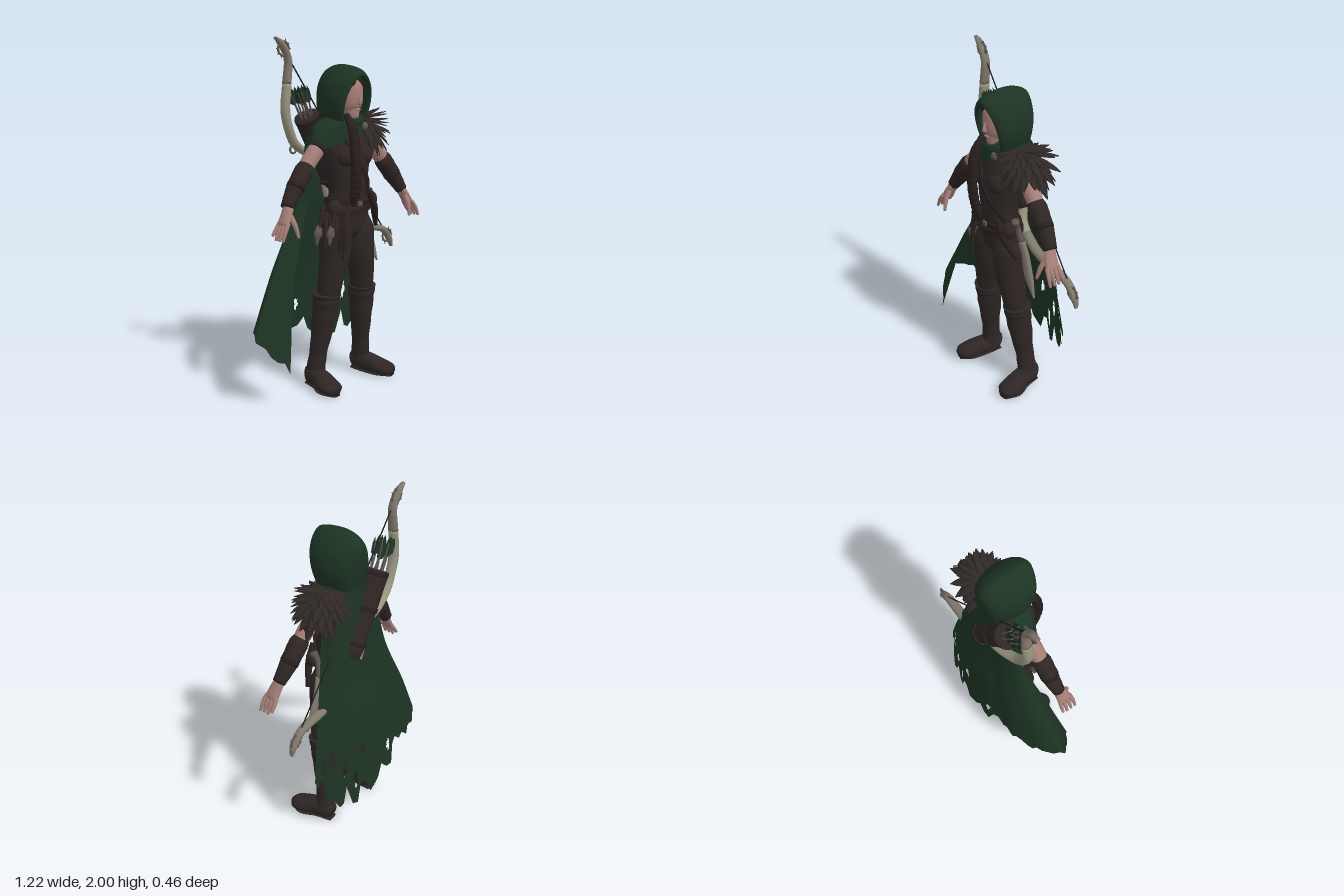
import * as THREE from 'three';

const V = (x, y, z) => new THREE.Vector3(x, y, z);
const CX = 0.045; // body's own middle line
const mat = (name, color, side = THREE.FrontSide) => {
  const m = new THREE.MeshStandardMaterial({ color, side });
  m.name = name;
  return m;
};

// Indexed surface over a (u, v) grid
function grid(nu, nv, fn, skip = () => false) {
  const pos = [], idx = [];
  for (let j = 0; j <= nv; j++) for (let i = 0; i <= nu; i++) pos.push(...fn(i / nu, j / nv).toArray());
  for (let j = 0; j < nv; j++) for (let i = 0; i < nu; i++) {
    if (skip((i + 0.5) / nu, (j + 0.5) / nv)) continue;
    const a = j * (nu + 1) + i, c = a + nu + 1;
    idx.push(a, c, a + 1, a + 1, c, c + 1);
  }
  const g = new THREE.BufferGeometry();
  g.setAttribute('position', new THREE.Float32BufferAttribute(pos, 3));
  g.setIndex(idx);
  g.computeVertexNormals();
  return g;
}

// Capped tube through sections [x, y, z, halfWidth, halfDepth]
function loft(secs, { n = 24, m = 14, ref = V(0, 0, 1), bump = () => 1 } = {}) {
  const path = new THREE.CatmullRomCurve3(secs.map(s => V(s[0], s[1], s[2])));
  const size = new THREE.CatmullRomCurve3(secs.map(s => V(s[3], s[4] ?? s[3], 0)));
  const pos = [], idx = [];
  for (let i = 0; i <= n; i++) {
    const t = i / n, p = path.getPoint(t), r = size.getPoint(t), T = path.getTangent(t);
    const S = V().crossVectors(T, ref).normalize(), B = V().crossVectors(S, T);
    for (let j = 0; j < m; j++) {
      const a = j / m * Math.PI * 2, k = bump(t, a);
      pos.push(...p.clone().addScaledVector(S, r.x * k * Math.cos(a)).addScaledVector(B, r.y * k * Math.sin(a)).toArray());
    }
  }
  for (let i = 0; i < n; i++) for (let j = 0; j < m; j++) {
    const a = i * m + j, b = i * m + (j + 1) % m;
    idx.push(a, a + m, b, b, a + m, b + m);
  }
  const c0 = pos.length / 3;
  pos.push(...path.getPoint(0).toArray(), ...path.getPoint(1).toArray());
  for (let j = 0; j < m; j++) idx.push(c0, j, (j + 1) % m, c0 + 1, n * m + (j + 1) % m, n * m + j);
  const g = new THREE.BufferGeometry();
  g.setAttribute('position', new THREE.Float32BufferAttribute(pos, 3));
  g.setIndex(idx);
  g.computeVertexNormals();
  return g;
}

export function createModel() {
  const model = new THREE.Group();
  let seed = 7;
  const rnd = () => (seed = (seed * 16807) % 2147483647) / 2147483647;
  const green = mat('forest cloth', 0x1d3323, THREE.DoubleSide);
  const leather = mat('dark leather', 0x2e2625);
  const plume = mat('feather brown', 0x2f2827, THREE.DoubleSide);
  const hair = mat('dark hair', 0x281f1e);
  const skin = mat('skin', 0xa57e78);
  const bone = mat('pale wood', 0x98957f);
  const worn = mat('worn wood', 0x7f786c);
  const metal = mat('dull metal', 0x5f5753);
  const cord = mat('cord', 0x1e1a1a);
  const add = (name, geo, m, parent = model) => {
    const mesh = new THREE.Mesh(geo, m);
    mesh.name = name;
    parent.add(mesh);
    return mesh;
  };
  const ball = (name, m, x, y, z, a, b, c) => {
    const s = add(name, new THREE.SphereGeometry(1, 20, 14), m);
    s.position.set(x, y, z);
    s.scale.set(a, b, c);
  };

  // Torso
  add('torso', loft([[CX, 0.86, 0.05, 0.07, 0.05], [CX, 0.92, 0.05, 0.145, 0.095], [CX, 1.0, 0.055, 0.155, 0.1], [CX, 1.14, 0.07, 0.122, 0.092],
    [CX, 1.3, 0.06, 0.145, 0.112], [CX, 1.42, 0.04, 0.16, 0.105], [CX, 1.5, 0.02, 0.125, 0.08], [CX, 1.56, 0.03, 0.055, 0.05]], { n: 36, m: 28 }), leather);
  for (const s of [-1, 1]) ball('bust', leather, CX + s * 0.06, 1.345, 0.118, 0.068, 0.068, 0.06);
  for (const [y, a, b, tilt] of [[1.08, 0.145, 0.105, -0.12], [1.03, 0.162, 0.11, 0.14]]) {
    const belt = add('belt', new THREE.CylinderGeometry(1, 1, 0.03, 32), hair);
    belt.position.set(CX, y, 0.06);
    belt.scale.set(a, 1, b);
    belt.rotation.z = tilt;
  }
  add('buckle', new THREE.BoxGeometry(0.03, 0.025, 0.012), metal).position.set(CX, 1.08, 0.168);
  add('chestStrap', loft([[-0.09, 1.5, 0.1, 0.014, 0.006], [0.0, 1.38, 0.165, 0.014, 0.006], [0.05, 1.29, 0.175, 0.014, 0.006],
    [0.12, 1.2, 0.155, 0.014, 0.006], [0.17, 1.1, 0.1, 0.014, 0.006]]), hair);

  // Head, hair and braid
  add('neck', new THREE.CylinderGeometry(0.042, 0.05, 0.12, 18), skin).position.set(CX, 1.55, 0.05);
  add('head', loft([[CX, 1.543, 0.1, 0.012, 0.012], [CX, 1.56, 0.1, 0.038, 0.044], [CX, 1.6, 0.08, 0.062, 0.072], [CX, 1.66, 0.075, 0.077, 0.084],
    [CX, 1.72, 0.072, 0.077, 0.086], [CX, 1.77, 0.06, 0.05, 0.06], [CX, 1.79, 0.055, 0.01, 0.01]], { m: 24 }), skin);
  add('nose', loft([[CX, 1.7, 0.15, 0.007, 0.007], [CX, 1.66, 0.16, 0.009, 0.012], [CX, 1.642, 0.162, 0.013, 0.014], [CX, 1.632, 0.155, 0.009, 0.007]], { n: 10, m: 10 }), skin);
  ball('lips', skin, CX, 1.605, 0.15, 0.02, 0.008, 0.007);
  ball('hairCap', hair, CX, 1.71, 0.04, 0.083, 0.1, 0.091);
  for (const s of [-1, 1]) {
    const X = d => CX + s * d;
    add('fringe', loft([[X(-0.01), 1.785, 0.115, 0.02, 0.014], [X(0.035), 1.757, 0.138, 0.024, 0.012], [X(0.074), 1.69, 0.1, 0.008, 0.014], [X(0.074), 1.58, 0.085, 0.006, 0.012]]), hair);
  }
  add('braid', loft([[-0.022, 1.58, 0.12, 0.016, 0.018], [-0.024, 1.5, 0.175, 0.031, 0.026], [-0.026, 1.35, 0.2, 0.032, 0.028], [-0.018, 1.22, 0.195, 0.033, 0.026],
    [-0.01, 1.14, 0.18, 0.036, 0.025], [-0.005, 1.07, 0.165, 0.012, 0.008]], { n: 90, m: 12, bump: t => 0.92 + 0.1 * Math.abs(Math.sin(t * 40)) }), hair);

  // Hood: pointed arches swept from the rim to the closed back
  const arch = [[-0.85, -1], [-0.97, -0.6], [-1, -0.2], [-0.88, 0.3], [-0.6, 0.68], [-0.28, 0.91], [0, 1]];
  const archCurve = new THREE.CatmullRomCurve3([...arch, ...arch.slice(0, 6).reverse().map(p => [-p[0], p[1]])].map(p => V(p[0], p[1], 0)));
  const hoodSecs = [[0.165, 0.088, 1.78], [0.186, 0.1, 1.797], [0.17, 0.118, 1.823], [0.1, 0.136, 1.845], [0, 0.132, 1.852], [-0.07, 0.112, 1.833], [-0.11, 0.075, 1.805], [-0.126, 0, 1.77]];
  const hoodCurve = new THREE.CatmullRomCurve3(hoodSecs.map(s => V(s[1], s[2], s[0])));
  add('hood', grid(44, 30, (u, v) => {
    const a = archCurve.getPoint(u), s = hoodCurve.getPoint(v), h = (s.y - 1.54) / 2, drop = (1 - a.y) / 2;
    return V(CX + a.x * s.x, 1.54 + h + a.y * h, s.z + (s.z > 0 ? -0.35 * s.z * drop : 0.02 * drop * drop));
  }), green);

  // Mantle, longer over the right shoulder
  add('mantle', grid(48, 12, (u, v) => {
    const a = u * Math.PI * 2, w = ((1 - Math.cos(a)) / 2) ** 2, c = Math.cos(a), s = Math.sin(a);
    const spread = Math.sin(v * Math.PI / 2), fold = 1 + 0.015 * v * Math.sin(a * 9);
    return V(CX + c * (0.085 + (0.05 + 0.125 * w) * spread) * fold, 1.585 - (0.09 + 0.11 * w) * v ** 1.3 - 0.01 * Math.sin(v * 9),
      0.03 + s * (0.085 + 0.04 * spread) * fold);
  }), green);
  const scarf = add('scarf', new THREE.TorusGeometry(0.09, 0.026, 10, 32), green);
  scarf.position.set(CX, 1.55, 0.042);
  scarf.rotation.set(Math.PI / 2 + 0.2, 0.08, 0);
  ball('brooch', metal, 0.105, 1.51, 0.145, 0.022, 0.022, 0.012);

  // Cape with torn hem and holes
  const rows = [
    [[-0.15, 1.47, 0.05], [-0.18, 1.47, -0.02], [-0.13, 1.51, -0.07], [-0.03, 1.56, -0.09], [0.08, 1.56, -0.095], [0.19, 1.5, -0.075], [0.25, 1.42, -0.015]],
    [[-0.2, 1.1, 0.0], [-0.24, 1.1, -0.05], [-0.17, 1.1, -0.1], [-0.05, 1.1, -0.12], [0.1, 1.1, -0.125], [0.24, 1.1, -0.105], [0.3, 1.12, -0.04]],
    [[-0.36, 0.7, 0.06], [-0.455, 0.7, -0.02], [-0.35, 0.7, -0.12], [-0.14, 0.7, -0.17], [0.08, 0.7, -0.185], [0.29, 0.7, -0.15], [0.385, 0.72, -0.08]],
    [[-0.48, 0.2, 0.15], [-0.62, 0.38, 0.01], [-0.47, 0.37, -0.13], [-0.22, 0.36, -0.2], [0.06, 0.11, -0.235], [0.29, 0.19, -0.19], [0.45, 0.34, -0.11]],
  ].map(r => new THREE.CatmullRomCurve3(r.map(p => V(...p))));
  const cols = 160, shreds = 40, tear = [];
  for (let i = 0; i <= shreds + 1; i++) tear.push(rnd() ** 1.4 * Math.min(0.8, 0.12 + (i / shreds) ** 1.2));
  const holes = [[0.55, 0.88, 0.01, 0.03], [0.7, 0.8, 0.012, 0.03], [0.8, 0.86, 0.01, 0.05], [0.88, 0.78, 0.014, 0.04], [0.94, 0.85, 0.012, 0.05], [0.75, 0.9, 0.008, 0.04]];
  add('cape', grid(cols, 56, (u, v) => {
    const k = u * shreds, i = Math.floor(k), j = THREE.MathUtils.lerp(tear[i], tear[i + 1], k - i);
    const p = new THREE.CatmullRomCurve3(rows.map(r => r.getPoint(u))).getPoint(v * (1 - 0.17 * j * v ** 3));
    p.z += 0.003 * v * Math.sin(u * 42);
    return p;
  }, (u, v) => holes.some(h => ((u - h[0]) / h[2]) ** 2 + ((v - h[1]) / h[3]) ** 2 < 1)), green);

  // Arms and legs
  for (const s of [-1, 1]) {
    const X = d => CX + s * d;
    const limb = (name, m, secs, o) => add(name, loft(secs.map(([d, ...r]) => [X(d), ...r]), o), m);
    limb('sleeve', leather, [[0.1, 1.46, 0.03, 0.045, 0.06], [0.16, 1.44, 0.035, 0.058, 0.06], [0.205, 1.4, 0.04, 0.05]]);
    limb('upperArm', skin, [[0.17, 1.43, 0.035, 0.05], [0.25, 1.36, 0.042, 0.048], [0.33, 1.275, 0.05, 0.042]]);
    limb('armBand', hair, [[0.2, 1.404, 0.04, 0.053], [0.22, 1.386, 0.042, 0.052]], { n: 4 });
    limb('bracer', leather, [[0.3, 1.31, 0.047, 0.045], [0.325, 1.28, 0.05, 0.054], [0.39, 1.2, 0.055, 0.05], [0.465, 1.1, 0.068, 0.036]], { bump: t => 1 + 0.015 * Math.sin(t * 45) });
    limb('bracerStrap', hair, [[0.38, 1.212, 0.054, 0.053], [0.395, 1.193, 0.056, 0.052]], { n: 3 });
    limb('palm', skin, [[0.45, 1.115, 0.066, 0.026, 0.03], [0.475, 1.07, 0.078, 0.023, 0.038], [0.505, 1.02, 0.085, 0.019, 0.042], [0.513, 1.005, 0.086, 0.01, 0.034]]);
    for (let i = 0; i < 4; i++) {
      const z = 0.054 + i * 0.022, drop = i === 0 ? 0.02 : 0;
      limb('finger', skin, [[0.503, 1.025, z, 0.013], [0.53, 0.985, z + (i - 1) * 0.004, 0.012], [0.552, 0.935 + drop, z + (i - 1) * 0.006, 0.008]], { n: 8, m: 8 });
    }
    limb('thumb', skin, [[0.47, 1.06, 0.1, 0.017], [0.462, 1.01, 0.13, 0.014], [0.452, 0.945, 0.148, 0.008]], { n: 8, m: 8 });

    limb('thigh', leather, [[0.075, 0.98, 0.055, 0.075, 0.085], [0.09, 0.9, 0.06, 0.098, 0.098], [0.1, 0.78, 0.065, 0.089, 0.089], [0.128, 0.64, 0.06, 0.072, 0.075], [0.142, 0.5, 0.045, 0.064]]);
    limb('boot', leather, [[0.146, 0.56, 0.048, 0.083, 0.081], [0.148, 0.51, 0.043, 0.077, 0.077], [0.158, 0.38, 0.028, 0.065, 0.07], [0.178, 0.2, 0.008, 0.047, 0.056], [0.188, 0.1, 0, 0.05, 0.06], [0.19, 0.03, 0, 0.053, 0.06]],
      { n: 48, m: 18, bump: (t, a) => 1 + 0.025 * Math.sin(t * 38 + a) });
    limb('foot', leather, [[0.187, 0.052, -0.062, 0.03, 0.045], [0.19, 0.063, -0.03, 0.055, 0.06], [0.202, 0.06, 0.05, 0.058, 0.058], [0.222, 0.047, 0.13, 0.068, 0.045], [0.232, 0.038, 0.19, 0.06, 0.036], [0.235, 0.03, 0.218, 0.028, 0.022]], { ref: V(0, 1, 0), m: 18 });
    limb('sole', leather, [[0.187, 0.01, -0.058, 0.035, 0.01], [0.2, 0.01, 0.05, 0.05, 0.01], [0.223, 0.01, 0.13, 0.064, 0.01], [0.235, 0.01, 0.212, 0.03, 0.01]], { ref: V(0, 1, 0) });
  }

  // Feathered left shoulder, layered like shingles
  const feathers = new THREE.Group();
  feathers.name = 'featherPauldron';
  model.add(feathers);
  const feather = loft([[0, 0, 0, 0.012, 0.004], [0, 0.04, 0, 0.026, 0.006], [0, 0.09, 0, 0.022, 0.005], [0, 0.135, 0, 0.002, 0.002]], { n: 7, m: 6 });
  for (let r = 0; r < 5; r++) for (let k = 0; k < 14; k++) {
    const az = (-150 + 270 * (k + (r % 2) * 0.5) / 13.5) * Math.PI / 180, e = (70 - r * 19 + rnd() * 8) * Math.PI / 180;
    const radial = V(Math.cos(az), 0, Math.sin(az));
    const out = radial.clone().multiplyScalar(Math.cos(e)).setY(Math.sin(e));
    const flare = 0.12 + rnd() * 0.15 + 0.5 * Math.max(0, radial.x) ** 2;
    const dir = radial.clone().multiplyScalar(Math.sin(e)).setY(-Math.cos(e)).addScaledVector(out, flare).normalize();
    const side = V().crossVectors(dir, out).normalize();
    const f = add('feather', feather, plume, feathers);
    f.quaternion.setFromRotationMatrix(new THREE.Matrix4().makeBasis(side, dir, V().crossVectors(side, dir)));
    f.position.set(0.2 + out.x * 0.098, 1.45 + out.y * 0.098, 0.015 + out.z * 0.08);
    f.scale.setScalar(0.8 + rnd() * 0.3);
  }
  ball('shoulderPad', plume, 0.2, 1.45, 0.015, 0.1, 0.1, 0.082);

  // Quiver and arrows
  const qTop = V(-0.14, 1.57, -0.075), qDir = V(-0.26, 0.46, 0.015).normalize();
  const qAt = (d, r) => [...qTop.clone().addScaledVector(qDir, d).toArray(), r];
  add('quiver', loft([qAt(-0.5, 0.055), qAt(-0.46, 0.064), qAt(-0.15, 0.07), qAt(0, 0.072)], { m: 20 }), leather);
  for (const d of [-0.42, -0.22, -0.02]) add('quiverBand', loft([qAt(d - 0.012, 0.073), qAt(d + 0.012, 0.075)], { n: 3, m: 20 }), hair);
  const vane = new THREE.Shape([[0, 0.08], [0.024, 0.1], [0.024, 0.15], [0.012, 0.185], [0, 0.16]].map(p => new THREE.Vector2(...p)));
  for (let i = 0; i < 8; i++) {
    const arrow = new THREE.Group();
    arrow.name = 'arrow';
    arrow.quaternion.setFromUnitVectors(V(0, 1, 0), qDir.clone().add(V((rnd() - 0.5) * 0.35, 0, (rnd() - 0.5) * 0.15)).normalize());
    arrow.position.copy(qTop).add(V(Math.cos(i * 0.8) * 0.035, rnd() * 0.02 - 0.02, Math.sin(i * 0.8) * 0.035));
    model.add(arrow);
    add('shaft', new THREE.CylinderGeometry(0.005, 0.005, 0.2, 6), metal, arrow).position.y = 0.06;
    for (let k = 0; k < 3; k++) add('fletching', new THREE.ShapeGeometry(vane), green, arrow).rotation.y = k * 2.1;
  }

  // Bow: one limb, reflected across the middle of the string
  const tipA = V(-0.31, 1.94, -0.07), tipB = V(0.54, 0.785, -0.07), along = tipB.clone().sub(tipA).normalize();
  const mid = tipA.clone().add(tipB).multiplyScalar(0.5);
  const upper = [[-0.37, 2.0, -0.07, 0.006, 0.012], [-0.325, 1.965, -0.07, 0.02, 0.022], [-0.28, 1.89, -0.07, 0.02, 0.026], [-0.288, 1.75, -0.07, 0.023, 0.03],
    [-0.3, 1.6, -0.07, 0.026, 0.03], [-0.265, 1.48, -0.072, 0.025, 0.03], [-0.225, 1.42, -0.08, 0.024, 0.03], [-0.12, 1.36, -0.105, 0.022, 0.028]];
  const lower = upper.map(([x, y, z, a, b]) => {
    const p = V(x, y, z), d = p.clone().sub(mid).dot(along);
    return [...p.addScaledVector(along, -2 * d).toArray(), a, b];
  }).reverse();
  const bow = [...upper, [0.018, 1.29, -0.115, 0.02, 0.025], ...lower];
  add('bowUpperTip', loft(bow.slice(0, 4), { n: 24, m: 12 }), worn);
  add('bowLimbs', loft(bow.slice(3, 12), { n: 60, m: 12 }), bone);
  add('bowLowerTip', loft(bow.slice(11), { n: 36, m: 12 }), worn);
  add('bowString', new THREE.TubeGeometry(new THREE.LineCurve3(tipA, tipB), 1, 0.004, 6), cord);
  for (const p of [tipA, tipB]) {
    const wheel = new THREE.Group();
    wheel.name = 'bowWheel';
    wheel.position.copy(p);
    model.add(wheel);
    add('wheelRing', new THREE.TorusGeometry(0.038, 0.006, 8, 24), metal, wheel);
    for (let i = 0; i < 10; i++) {
      const a = i * Math.PI / 5, tooth = add('tooth', new THREE.ConeGeometry(0.007, 0.018, 5), metal, wheel);
      tooth.position.set(Math.cos(a) * 0.048, Math.sin(a) * 0.048, 0);
      tooth.rotation.z = a - Math.PI / 2;
    }
  }
  add('bowLoop', new THREE.TorusGeometry(0.022, 0.006, 8, 20), metal).position.set(-0.245, 1.39, -0.07);

  // Hip gear
  add('curvedBlade', loft([[0.22, 1.0, 0.04, 0.022, 0.018], [0.24, 0.92, 0.03, 0.028, 0.02], [0.275, 0.8, 0.03, 0.034, 0.02], [0.335, 0.68, 0.035, 0.004, 0.006]]), worn);
  add('bladeGrip', loft([[0.215, 1.0, 0.04, 0.018], [0.205, 1.09, 0.06, 0.016], [0.215, 1.14, 0.08, 0.022]]), metal);
  add('daggerSheath', loft([[0.14, 1.14, 0.15, 0.018], [0.19, 1.04, 0.14, 0.022], [0.25, 0.92, 0.1, 0.012]]), hair);
  for (const [x, y, z] of [[0.19, 1.08, 0.11], [-0.1, 1.06, 0.11], [-0.13, 0.99, 0.07]]) ball('pouch', leather, x, y, z, 0.042, 0.05, 0.04);
  for (let i = 0; i < 7; i++) {
    const x = -0.165 + i * 0.016, z = 0.09 + i * 0.012, end = 0.76 + rnd() * 0.14;
    add('hangingStrip', loft([[x + 0.02, 1.04, z, 0.012, 0.006], [x, 0.93, z + 0.02, 0.015, 0.007], [x - 0.005, end, z + 0.015, 0.004, 0.004]], { n: 12, m: 8 }), i % 3 ? hair : leather);
  }
  for (const [x, z] of [[-0.18, 0.07], [-0.14, 0.13]]) {
    add('knifeGrip', loft([[x + 0.03, 1.08, z, 0.014], [x + 0.01, 1.0, z, 0.012], [x, 0.96, z, 0.016]], { n: 10, m: 10 }), leather);
    add('knifeBlade', loft([[x, 0.97, z, 0.016, 0.01], [x - 0.015, 0.9, z, 0.016, 0.01], [x - 0.02, 0.86, z, 0.004, 0.004]], { n: 10, m: 10 }), metal);
  }
  return model;
}
